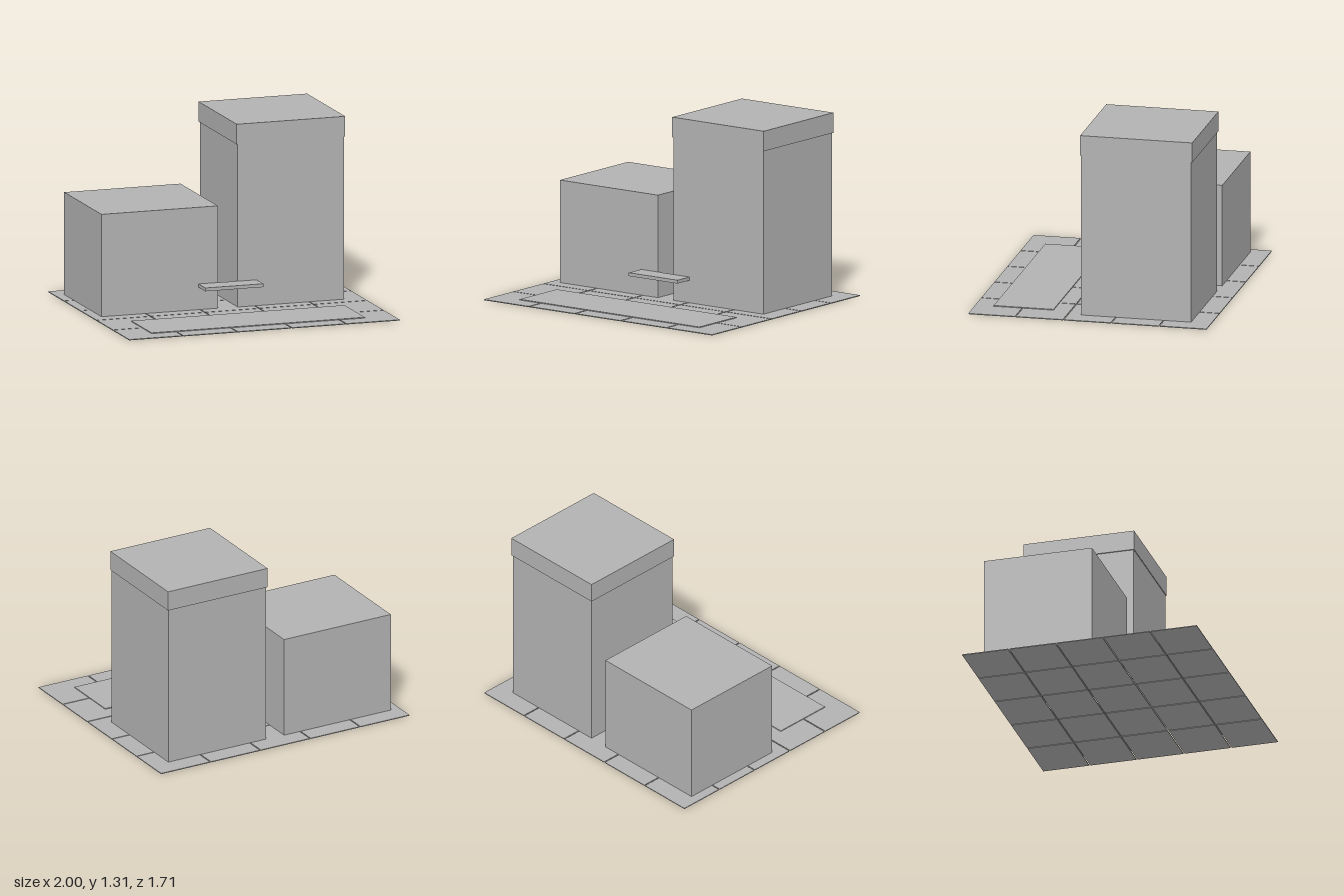
import * as THREE from 'three';

export function createModel() {
  const model = new THREE.Group();
  model.name = 'buildingBlockout';
  const grey = new THREE.MeshStandardMaterial({ color: 0xb2b2b2 });
  grey.name = 'grey';

  // Box given by its [min, max] range along each axis
  function addBox(name, [x0, x1], [y0, y1], [z0, z1], parent = model) {
    const mesh = new THREE.Mesh(new THREE.BoxGeometry(x1 - x0, y1 - y0, z1 - z0), grey);
    mesh.name = name;
    mesh.position.set((x0 + x1) / 2, (y0 + y1) / 2, (z0 + z1) / 2);
    parent.add(mesh);
    return mesh;
  }

  // Ground: five by five thin paving tiles with narrow gaps
  const paving = new THREE.Group();
  paving.name = 'paving';
  model.add(paving);
  const count = 5, gap = 0.008, width = 2, depth = 1.706, tileTop = 0.006;
  const tileX = (width - gap * (count - 1)) / count;
  const tileZ = (depth - gap * (count - 1)) / count;
  for (let i = 0; i < count; i++) {
    for (let j = 0; j < count; j++) {
      const x = -width / 2 + i * (tileX + gap);
      const z = -depth / 2 + j * (tileZ + gap);
      addBox('pavingTile', [x, x + tileX], [0, tileTop], [z, z + tileZ], paving);
    }
  }

  // Raised forecourt slab
  addBox('forecourtSlab', [-0.788, 0.788], [tileTop, 0.012], [0.292, 0.72]);

  // Low block on the right-hand side, tower with overhanging cap on the left
  addBox('lowBlock', [-0.93, -0.07], [tileTop, 0.736], [-0.716, 0.07]);
  addBox('tower', [0.074, 0.86], [tileTop, 1.168], [-0.711, 0.078]);
  addBox('towerCap', [0.065, 0.867], [1.168, 1.311], [-0.72, 0.083]);

  // Entrance canopy bridging the gap
  addBox('canopy', [-0.214, 0.214], [0.166, 0.19], [0.074, 0.217]);

  return model;
}
